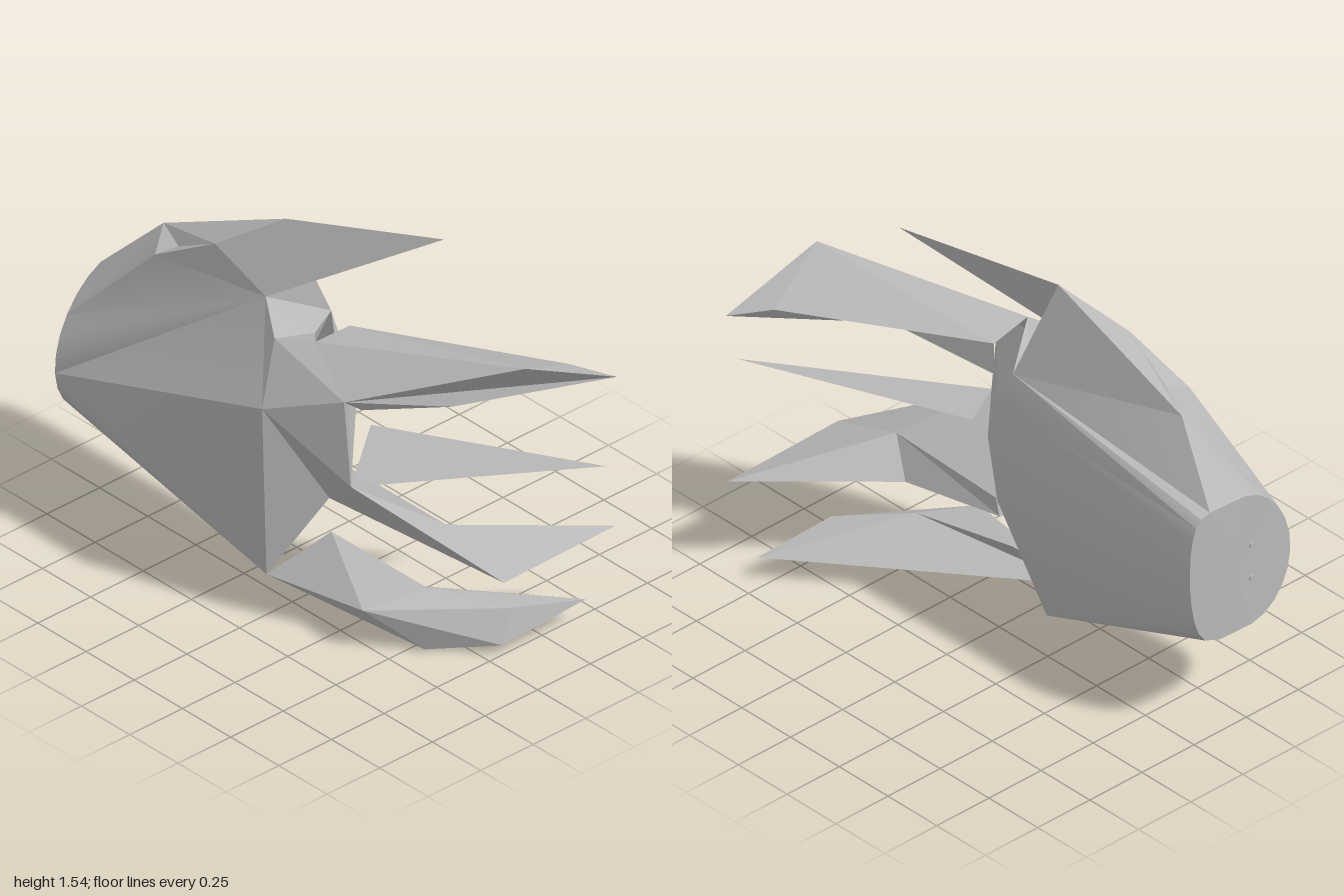
import * as THREE from 'three';
import { toCreasedNormals } from 'three/addons/utils/BufferGeometryUtils.js';

const grey = new THREE.MeshStandardMaterial({ color: 0xb8b8b8, side: THREE.DoubleSide });
grey.name = 'plain grey';

// Corner points of the palm shell, shared with the finger bases
const P = {
  knuckle: [0.04, 0.9, 0.43], heel: [-0.09, 0.09, 0.29], webTop: [-0.16, 1.187, 0.23],
  gapFront: [-0.015, 1.12, 0.32], notch: [0.03, 1.1, 0.17], fingerTop: [0.12, 1.14, 0.25],
  rimTop: [0.34, 1.02, 0.315], rimMid: [0.37, 0.68, 0.31], rimLow: [0.05, 0.4, 0.12],
  backTop: [-0.05, 1.09, 0.02], backUpper: [0.05, 0.93, 0.03], backMid: [0.09, 0.75, 0.03],
  backLow: [0.04, 0.5, 0.03], backHeel: [-0.18, 0.11, 0.06],
  ridgeTop: [-0.16, 1.47, 0.135], ridgeMid: [-0.38, 1.32, 0.27], ridgeFront: [-0.63, 1.18, 0.325],
  ridgeDip: [-0.59, 1.2, 0.25], ridgeBack: [-0.75, 1.19, 0.175], thumbTip: [0.4, 1.545, -0.105],
  // Upper finger
  upEnd: [0.86, 1.24, -0.07], upTip: [0.92, 1.07, -0.45], upUnder: [0.58, 0.99, 0.025],
  upFront: [0.35, 0.96, 0.24], upBack: [0.79, 1.11, -0.34], upBase: [0.1, 1.12, 0.07],
  upHeel: [0.08, 1.01, 0.05],
  // Middle finger
  midTip: [1, 0.79, -0.325], midBase: [0.2, 0.75, 0.06],
  // Lower finger
  lowRidge: [0.58, 0.51, 0.05], lowEnd: [0.88, 0.41, 0.05], lowTip: [0.87, 0.41, -0.487],
  lowUnder: [0.48, 0.375, 0], lowBase: [0.06, 0.5, 0.04], lowHeel: [0.05, 0.42, 0.05],
  // Bottom finger
  base: [0.055, 0.26, 0.115], ridge: [0.49, 0.21, 0.06], bend: [0.73, 0.16, -0.12],
  tip: [0.79, 0.095, -0.42], side: [0.75, 0.04, -0.06], under: [0.54, 0, 0.115],
  brow: [0.41, 0.175, 0.29],
};

// Wrist outline near x = -1: rounded in front, nearly flat at the back
const SEG = 24;
const wrist = (i) => {
  const a = (i / SEG) * Math.PI * 2;
  const c = Math.cos(a + 0.2);
  const z = c > 0 ? 0.255 * c : -0.25 * Math.pow(-c, 0.3);
  return [-1 + 0.025 * Math.max(0, c), 0.665 + 0.285 * Math.sin(a), 0.23 + z];
};

function triangles(name, list, crease = 0) {
  let g = new THREE.BufferGeometry();
  g.setAttribute('position', new THREE.Float32BufferAttribute(list.flat(2), 3));
  g.computeVertexNormals();
  if (crease) g = toCreasedNormals(g, crease);
  const m = new THREE.Mesh(g, grey);
  m.name = name;
  return m;
}

const named = (rows) => rows.map((row) => row.split(' ').map((k) => P[k]));

export function createModel() {
  const group = new THREE.Group();
  group.name = 'clawedHand';

  // Palm shell: each outer corner is fanned to a run of the wrist oval
  const loop = [['knuckle', -1], ['webTop', 2], ['ridgeFront', 2], ['ridgeBack', 6], ['backTop', 8],
    ['backUpper', 9], ['backMid', 11], ['backLow', 13], ['backHeel', 16], ['heel', 23], ['knuckle', 23]];
  const shell = [];
  for (let i = 0; i < loop.length - 1; i++) {
    const [a, k] = loop[i];
    const [b, n] = loop[i + 1];
    shell.push([wrist(k), P[a], P[b]]);
    for (let j = k; j < n; j++) shell.push([wrist(j), P[b], wrist(j + 1)]);
  }
  group.add(triangles('palmShell', shell, 0.6));

  // Front knuckle plates and the end wall between the fingers
  group.add(triangles('knucklePlates', named([
    'knuckle gapFront webTop', 'knuckle rimTop gapFront', 'knuckle rimMid rimTop',
    'knuckle rimLow rimMid', 'knuckle heel rimLow',
  ])));
  group.add(triangles('fingerWall', named([
    'webTop gapFront notch', 'webTop notch backTop', 'gapFront fingerTop notch',
    'gapFront rimTop fingerTop', 'notch fingerTop backTop',
    'rimTop backUpper backTop', 'rimTop rimMid backUpper', 'rimMid backMid backUpper',
    'rimMid rimLow backLow', 'rimMid backLow backMid', 'rimLow heel backHeel', 'rimLow backHeel backLow',
  ])));

  // Raised thumb ridge and its flat blade
  group.add(triangles('thumbRidge', named([
    'webTop ridgeMid ridgeFront', 'webTop ridgeTop ridgeMid', 'ridgeFront ridgeMid ridgeDip',
    'ridgeFront ridgeDip ridgeBack', 'ridgeDip ridgeMid ridgeBack',
    'ridgeMid ridgeTop ridgeBack', 'ridgeTop backTop ridgeBack', 'webTop backTop ridgeTop',
  ])));
  group.add(triangles('thumbBlade', named(['webTop thumbTip ridgeTop'])));

  // Wrist cap with four small studs
  const cap = [];
  for (let i = 0; i < SEG; i++) cap.push([[-1, 0.665, 0.2], wrist(i + 1), wrist(i)]);
  group.add(triangles('wristCap', cap));
  for (const y of [0.578, 0.716]) {
    for (const z of [0.14, 0.28]) {
      const stud = new THREE.Mesh(new THREE.CylinderGeometry(0.011, 0.011, 0.008, 10), grey);
      stud.rotation.z = Math.PI / 2;
      stud.position.set(-0.998, y, z);
      stud.name = 'wristStud';
      group.add(stud);
    }
  }

  // Upper finger with a broad chisel end
  group.add(triangles('upperFinger', named([
    'rimTop upEnd fingerTop', 'rimTop upTip upEnd', 'rimTop upFront upUnder', 'rimTop upUnder upTip',
    'upEnd upBase fingerTop', 'upEnd upBack upBase', 'upEnd upTip upBack', 'upTip upUnder upBack',
    'upBack upUnder upBase', 'upBase upUnder upHeel', 'upHeel upUnder upFront',
  ])));

  // Thin middle claw
  group.add(triangles('middleFinger', named(['rimMid midTip midBase'])));

  // Lower finger with a wide, flat end
  group.add(triangles('lowerFinger', named([
    'rimMid rimLow lowEnd', 'rimLow lowUnder lowEnd', 'lowEnd lowUnder lowTip',
    'lowEnd lowTip lowRidge', 'lowTip lowUnder lowRidge', 'rimMid lowEnd lowRidge',
    'rimMid lowRidge lowBase', 'lowRidge lowUnder lowHeel', 'lowRidge lowHeel lowBase',
    'rimLow lowHeel lowUnder',
  ])));

  // Bottom finger: faceted claw joined at the heel
  group.add(triangles('bottomFinger', named([
    'heel brow base', 'base brow ridge', 'ridge brow bend', 'brow side bend', 'bend side tip',
    'heel under brow', 'brow under side', 'under tip side',
    'heel tip under', 'heel ridge tip', 'ridge bend tip', 'heel base ridge',
  ])));
  return group;
}
